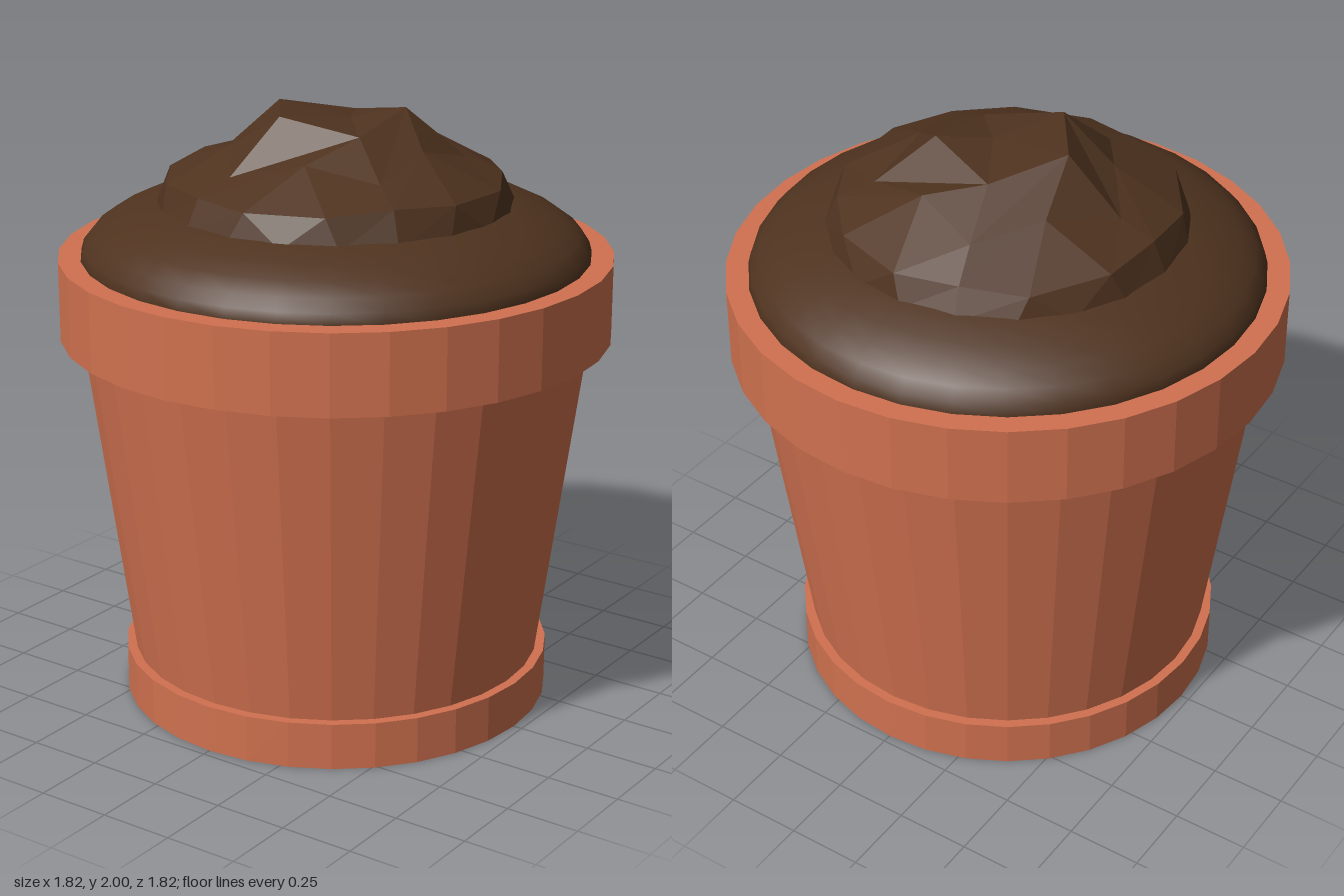
import * as THREE from 'three';

const SIDES = 32;
const clay = new THREE.MeshStandardMaterial({ color: 0xd0714f, flatShading: true });
const soil = new THREE.MeshStandardMaterial({ color: 0x4f331f });
const clod = new THREE.MeshStandardMaterial({ color: 0x4f331f, flatShading: true });

function cylinder(name, rTop, rBottom, y0, y1, open = false) {
  const mesh = new THREE.Mesh(new THREE.CylinderGeometry(rTop, rBottom, y1 - y0, SIDES, 1, open), clay);
  mesh.position.y = (y0 + y1) / 2;
  mesh.name = name;
  return mesh;
}

// Seeded wobble in the range -0.5..0.5
function wobbler(seed) {
  return () => {
    seed = (seed * 16807) % 2147483647;
    return seed / 2147483647 - 0.5;
  };
}

// Five repeats of a few [degrees, radius, height] points, slightly uneven
function ring(points, wobble, amount) {
  const result = [];
  for (let k = 0; k < 5; k++) {
    for (const [deg, r, y] of points) {
      const angle = THREE.MathUtils.degToRad(36 + 72 * k + deg);
      result.push({ angle, p: [r * Math.cos(angle), y + wobble() * amount, r * Math.sin(angle)] });
    }
  }
  return result;
}

// Joins two rings with a band of triangles, always advancing the ring that lags behind
function stitch(inner, outer, out) {
  const at = (list, i) => list[i % list.length].p;
  const angle = (list, i) => list[i % list.length].angle + Math.floor(i / list.length) * Math.PI * 2;
  let i = 0, j = 0;
  while (i < inner.length || j < outer.length) {
    const stepOuter = i === inner.length ||
      (j < outer.length && angle(outer, j + 1) <= angle(inner, i + 1) + 1e-6);
    if (stepOuter) {
      out.push(...at(inner, i), ...at(outer, j + 1), ...at(outer, j));
      j++;
    } else {
      out.push(...at(inner, i), ...at(inner, i + 1), ...at(outer, j));
      i++;
    }
  }
}

// Faceted heap of earth: a shallow pole, then rings widening downwards
function heapGeometry() {
  const wobble = wobbler(71);
  const crown = ring([[0, 0.225, 2]], wobble, 0);
  crown[0].p[1] = 1.95;
  crown[3].p[1] = 1.95;
  const rings = [
    crown,
    ring([[0, 0.42, 1.84], [36, 0.335, 1.89]], wobble, 0.03),
    ring([[0, 0.54, 1.79], [22.4, 0.56, 1.775], [49.6, 0.56, 1.775]], wobble, 0.03),
    ring([[0, 0.59, 1.68], [18, 0.59, 1.68], [36, 0.59, 1.68], [54, 0.59, 1.68]], wobble, 0),
  ];
  const out = [];
  const pole = [0.05, 1.975, -0.01];
  crown.forEach((c, i) => out.push(...pole, ...crown[(i + 1) % 5].p, ...c.p));
  for (let i = 1; i < rings.length; i++) stitch(rings[i - 1], rings[i], out);
  const geometry = new THREE.BufferGeometry();
  geometry.setAttribute('position', new THREE.Float32BufferAttribute(out, 3));
  geometry.computeVertexNormals();
  return geometry;
}

export function createModel() {
  const group = new THREE.Group();
  group.name = 'pottedSoil';

  // Clay pot
  group.add(
    cylinder('potFoot', 0.72, 0.72, 0, 0.157),
    cylinder('potBody', 0.838, 0.688, 0.157, 1.26, true),
    cylinder('potRim', 0.91, 0.91, 1.26, 1.525),
  );

  // Rounded soil bed
  const bed = new THREE.Mesh(
    new THREE.SphereGeometry(0.838, SIDES, 10, 0, Math.PI * 2, 0, Math.PI / 2), soil);
  bed.scale.y = 0.25 / 0.838;
  bed.position.y = 1.52;
  bed.name = 'soilBed';
  group.add(bed);

  // Loose heap on top
  const heap = new THREE.Mesh(heapGeometry(), clod);
  heap.name = 'soilHeap';
  group.add(heap);

  return group;
}
